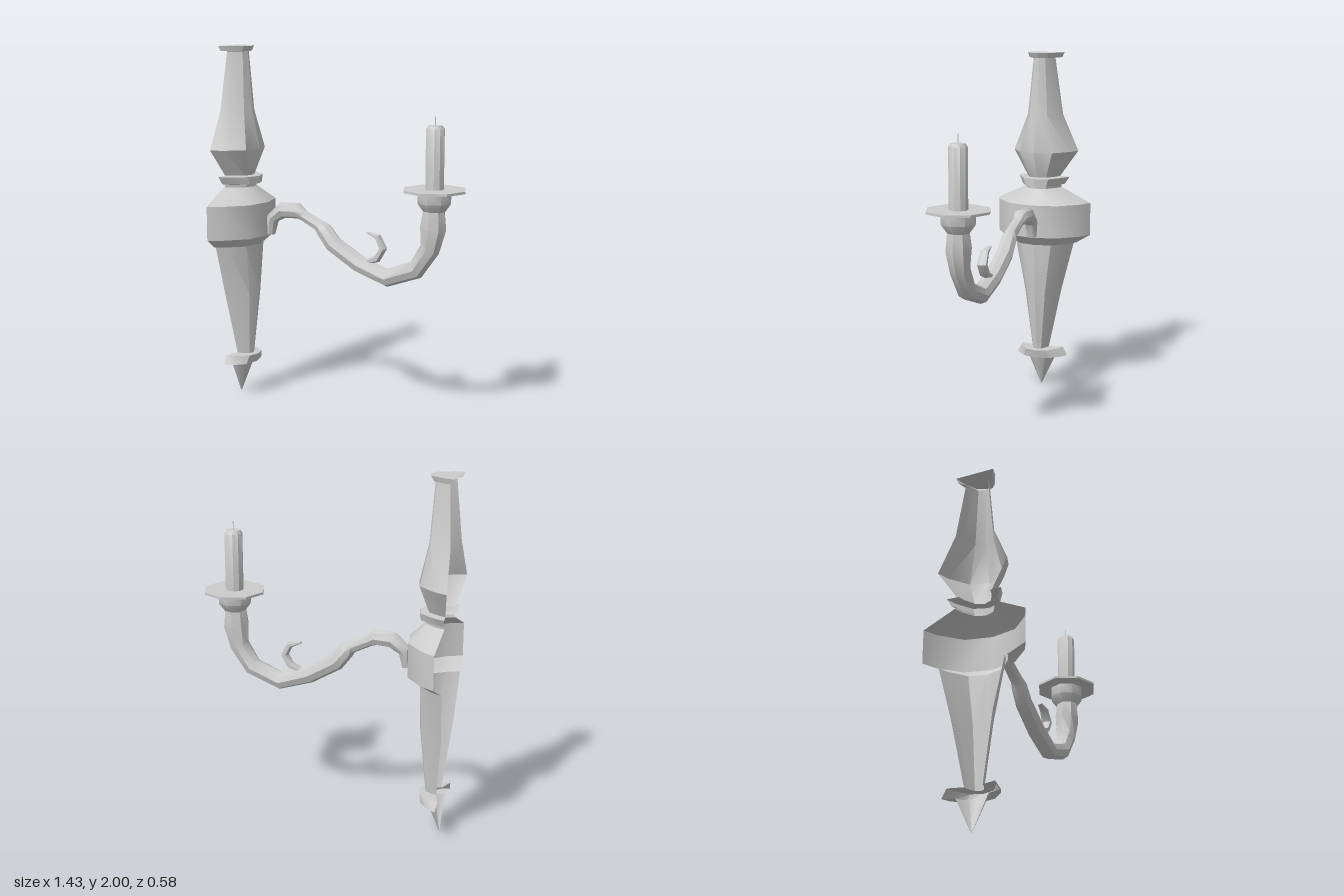
import * as THREE from 'three';
import { toCreasedNormals } from 'three/addons/utils/BufferGeometryUtils.js';

const ARM_Z = -0.013;

function addMesh(parent, name, geometry, crease = 0.6) {
  const material = new THREE.MeshStandardMaterial({ color: 0xcccccc, side: THREE.DoubleSide });
  const mesh = new THREE.Mesh(toCreasedNormals(geometry, crease), material);
  mesh.name = name;
  parent.add(mesh);
  return mesh;
}

// Skin a list of equal-length rings; closed joins each ring's ends.
function loft(rings, closed, capStart, capEnd) {
  const n = rings[0].length;
  const pos = rings.flat().flatMap((p) => p.toArray());
  const index = [];
  for (let i = 0; i < rings.length - 1; i++) {
    for (let j = 0; j < (closed ? n : n - 1); j++) {
      const k = (j + 1) % n;
      const a = i * n + j, b = i * n + k;
      index.push(a, b, a + n, b, b + n, a + n);
    }
  }
  const cap = (i, flip) => {
    const c = pos.length / 3;
    const mid = new THREE.Vector3();
    rings[i].forEach((p) => mid.addScaledVector(p, 1 / n));
    pos.push(mid.x, mid.y, mid.z);
    for (let j = 0; j < n; j++) {
      const a = i * n + j, b = i * n + (j + 1) % n;
      index.push(c, flip ? b : a, flip ? a : b);
    }
  };
  if (capStart) cap(0, true);
  if (capEnd) cap(rings.length - 1, false);
  const g = new THREE.BufferGeometry();
  g.setAttribute('position', new THREE.Float32BufferAttribute(pos, 3));
  g.setIndex(index);
  return g;
}

// Half-round wall section, open at the back: rows are [y, back x, front x, half width].
const HALF = [[0, -1], [0.35, -0.87], [0.85, -0.5], [1, 0], [0.85, 0.5], [0.35, 0.87], [0, 1]];
function halfTurned(rows, capTop) {
  const rings = rows.map(([y, back, front, w]) =>
    HALF.map(([d, s]) => new THREE.Vector3(back + d * (front - back), y, s * w)));
  return loft(rings, false, capTop, false);
}

// Tapered tube in the x-y plane: rows are [x, y, radius, radius along z].
function taperedTube(rows, sides) {
  const pts = rows.map(([x, y]) => new THREE.Vector2(x, y));
  const rings = rows.map(([x, y, r, rz = r], i) => {
    const a = pts[Math.max(i - 1, 0)], b = pts[Math.min(i + 1, pts.length - 1)];
    const t = b.clone().sub(a).normalize();
    return Array.from({ length: sides }, (_, j) => {
      const q = (j / sides) * Math.PI * 2;
      return new THREE.Vector3(x - t.y * r * Math.cos(q), y + t.x * r * Math.cos(q), ARM_Z + rz * Math.sin(q));
    });
  });
  return loft(rings, true, true, true);
}

function lathe(profile, sides) {
  return new THREE.LatheGeometry(profile.map(([r, y]) => new THREE.Vector2(r, y)), sides, Math.PI / 2);
}

export function createModel() {
  const model = new THREE.Group();
  model.name = 'wallCandleSconce';

  // Half-round backplate, from the top down
  const backplate = new THREE.Group();
  backplate.name = 'backplate';
  model.add(backplate);
  addMesh(backplate, 'topCap', halfTurned([
    [2.0, -0.715, -0.56, 0.11], [1.972, -0.705, -0.575, 0.1], [1.97, -0.68, -0.59, 0.07],
  ], true));
  addMesh(backplate, 'upperSpindle', halfTurned([
    [1.97, -0.685, -0.59, 0.065], [1.64, -0.708, -0.565, 0.108],
    [1.43, -0.72, -0.518, 0.2], [1.28, -0.69, -0.57, 0.1],
  ]));
  addMesh(backplate, 'collar', halfTurned([
    [1.28, -0.69, -0.57, 0.09], [1.277, -0.698, -0.525, 0.155], [1.235, -0.69, -0.525, 0.13],
    [1.23, -0.68, -0.56, 0.11], [1.215, -0.69, -0.56, 0.11],
  ]));
  addMesh(backplate, 'centreBlock', halfTurned([
    [1.215, -0.69, -0.56, 0.11], [1.13, -0.69, -0.475, 0.29],
    [0.94, -0.69, -0.475, 0.29], [0.885, -0.705, -0.535, 0.2],
  ]));
  addMesh(backplate, 'lowerSpindle', halfTurned([
    [0.885, -0.705, -0.535, 0.185], [0.6, -0.693, -0.542, 0.115], [0.24, -0.657, -0.58, 0.05],
  ]));
  addMesh(backplate, 'lowerCollar', halfTurned([
    [0.24, -0.66, -0.58, 0.05], [0.238, -0.685, -0.545, 0.13],
    [0.19, -0.68, -0.56, 0.16], [0.187, -0.67, -0.595, 0.09],
  ]));
  addMesh(backplate, 'pointedTip', halfTurned([
    [0.188, -0.67, -0.595, 0.09], [0, -0.667, -0.664, 0.002],
  ]));

  // Curved arm
  addMesh(model, 'arm', taperedTube([
    [-0.458, 0.95, 0.02, 0.03], [-0.447, 1.04, 0.035, 0.04], [-0.38, 1.092, 0.046],
    [-0.285, 1.095, 0.045], [-0.25, 1.072, 0.032], [-0.15, 1.025, 0.035], [-0.12, 1.002, 0.046],
    [-0.06, 0.927, 0.049], [0.1, 0.832, 0.05], [0.27, 0.772, 0.05], [0.44, 0.835, 0.052],
    [0.52, 0.955, 0.056], [0.537, 1.07, 0.075, 0.07], [0.54, 1.165, 0.06],
  ], 8), 0.75);

  // Curled leaf on the arm
  addMesh(model, 'scroll', taperedTube([
    [0.14, 0.845, 0.015, 0.024], [0.21, 0.872, 0.021, 0.03], [0.245, 0.93, 0.022, 0.03],
    [0.212, 0.992, 0.018, 0.025], [0.148, 1.011, 0.006, 0.012],
  ], 6), 0.75);

  // Candle holder
  const holder = new THREE.Group();
  holder.name = 'candleHolder';
  holder.position.set(0.541, 0, -0.015);
  model.add(holder);
  addMesh(holder, 'cup', lathe([[0.001, 1.158], [0.06, 1.158], [0.095, 1.205], [0.095, 1.266]], 8), 0.8);
  addMesh(holder, 'dripPan', lathe([[0.001, 1.264], [0.174, 1.264], [0.174, 1.277], [0.001, 1.277]], 8), 0.2);
  addMesh(holder, 'candle', lathe([[0.05, 1.275], [0.05, 1.595], [0.038, 1.612], [0.001, 1.612]], 10));
  const wick = addMesh(holder, 'wick', new THREE.CylinderGeometry(0.002, 0.002, 0.055, 4));
  wick.position.y = 1.635;

  return model;
}
